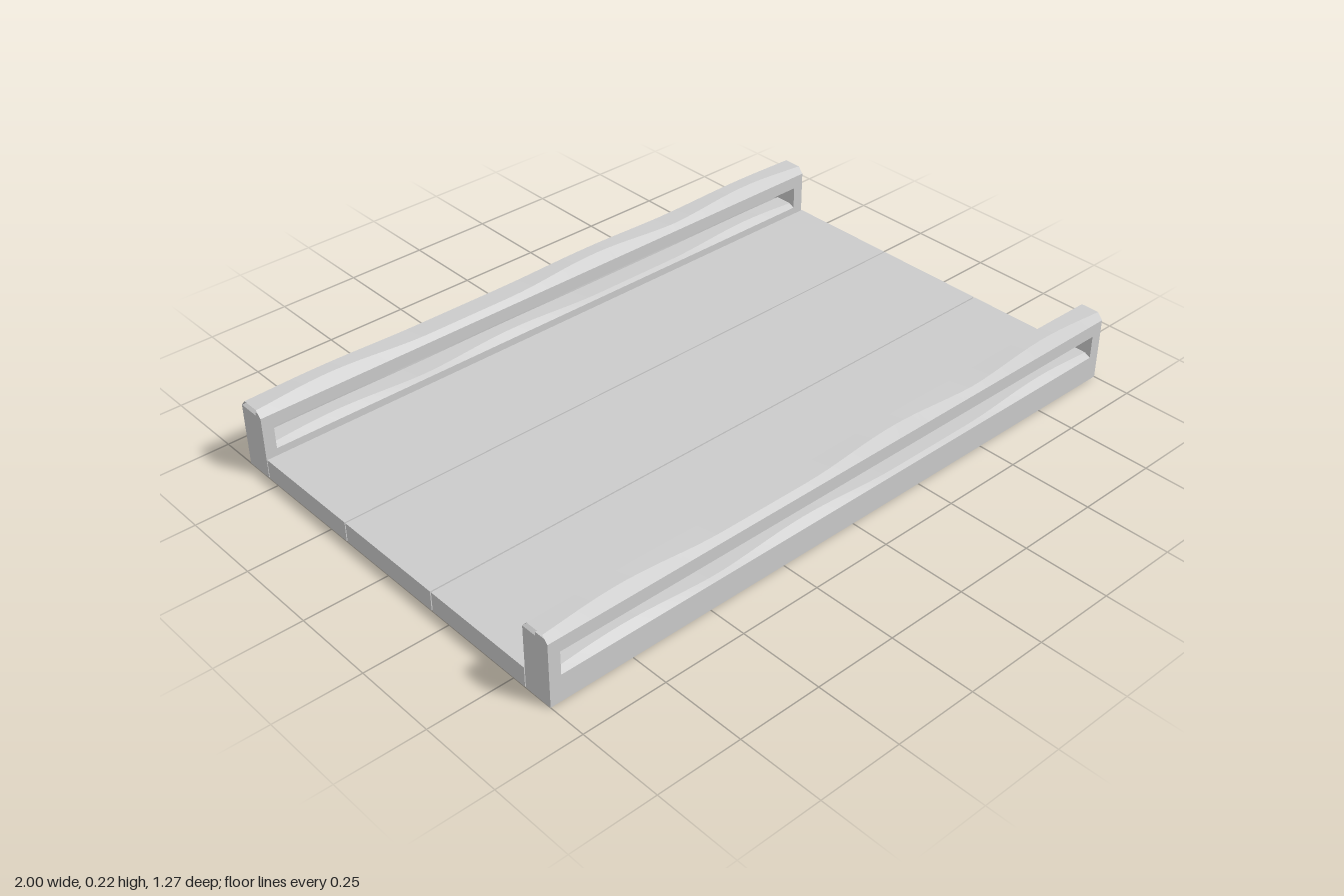
import * as THREE from 'three';

const material = new THREE.MeshStandardMaterial({ color: 0xcccccc, side: THREE.DoubleSide });
const RAIL_Z = 0.59, HALF = 0.045;      // rail centre line and half depth
const SLOT_X = 0.965, SLOT_LOW = 0.08, SLOT_HIGH = 0.15, WALL_TOP = 0.19;

function add(parent, name, geometry, x = 0, y = 0, z = 0, rx = 0, ry = 0) {
  const mesh = new THREE.Mesh(geometry, material);
  mesh.name = name;
  mesh.position.set(x, y, z);
  mesh.rotation.set(rx, ry, 0);
  parent.add(mesh);
  return mesh;
}

const plane = (w, h) => new THREE.PlaneGeometry(w, h);

// Sum of soft humps along the length, 0 to 1
function humps(x, centres) {
  return centres.reduce((sum, c) => {
    const d = Math.abs(x - c) / 0.33;
    return sum + (d < 1 ? 0.5 + 0.5 * Math.cos(Math.PI * d) : 0);
  }, 0);
}

// Bevelled strip whose flat crown rises and narrows at each hump
function wavyCap(halfLength, base, low, high, centres) {
  const positions = [], indices = [], steps = 48;
  const profile = (x) => {
    const t = Math.min(1, humps(x, centres));
    const half = 0.03 - 0.009 * t, y = low + (high - low) * t;
    return [[HALF, base], [half, y], [-half, y], [-HALF, base]];
  };
  for (let face = 0; face < 3; face++) {
    const start = positions.length / 3;
    for (let i = 0; i <= steps; i++) {
      const x = halfLength * (2 * i / steps - 1);
      const p = profile(x);
      for (const [z, y] of [p[face], p[face + 1]]) positions.push(x, y, z);
      if (i < steps) {
        const a = start + 2 * i;
        indices.push(a, a + 2, a + 1, a + 1, a + 2, a + 3);
      }
    }
  }
  const geometry = new THREE.BufferGeometry();
  geometry.setAttribute('position', new THREE.Float32BufferAttribute(positions, 3));
  geometry.setIndex(indices);
  geometry.computeVertexNormals();
  return geometry;
}

// Long wall with a slot through it
function slottedWall() {
  const rect = (Type, x, y0, y1) => new Type([
    new THREE.Vector2(-x, y0), new THREE.Vector2(x, y0),
    new THREE.Vector2(x, y1), new THREE.Vector2(-x, y1)]);
  const shape = rect(THREE.Shape, 1, 0, WALL_TOP);
  shape.holes.push(rect(THREE.Path, SLOT_X, SLOT_LOW, SLOT_HIGH));
  return new THREE.ShapeGeometry(shape);
}

// Hollow rail, open below and at the +x end
function createRail(name, z) {
  const rail = new THREE.Group();
  rail.name = name;
  rail.position.z = z;
  add(rail, 'frontWall', slottedWall(), 0, 0, HALF);
  add(rail, 'backWall', slottedWall(), 0, 0, -HALF, 0, Math.PI);
  add(rail, 'railCap', wavyCap(1, WALL_TOP, 0.207, 0.22, [-0.77, 0.16, 0.77]));
  add(rail, 'slotSill', wavyCap(SLOT_X, SLOT_LOW, 0.086, 0.095, [-0.77, -0.16, 0.77]));
  add(rail, 'slotCeiling', plane(2 * SLOT_X, 2 * HALF), 0, SLOT_HIGH, 0, Math.PI / 2);
  for (const s of [-1, 1]) {
    add(rail, 'slotEnd', plane(2 * HALF, SLOT_HIGH - SLOT_LOW),
      s * SLOT_X, (SLOT_HIGH + SLOT_LOW) / 2, 0, 0, -s * Math.PI / 2);
  }
  add(rail, 'endCap', plane(2 * HALF, WALL_TOP), -1, WALL_TOP / 2, 0, 0, -Math.PI / 2);
  return rail;
}

// Hollow deck plank, open below and at the +x end
function createPlank(z) {
  const width = 0.358, height = 0.06;
  const plank = new THREE.Group();
  plank.name = 'deckPlank';
  plank.position.z = z;
  add(plank, 'plankTop', plane(2, width), 0, height, 0, -Math.PI / 2);
  for (const s of [-1, 1]) {
    add(plank, 'plankSide', plane(2, height), 0, height / 2, s * width / 2, 0, s > 0 ? 0 : Math.PI);
  }
  add(plank, 'plankEnd', plane(width, height), -1, height / 2, 0, 0, -Math.PI / 2);
  return plank;
}

export function createModel() {
  const model = new THREE.Group();
  model.name = 'bridgeDeck';
  for (const i of [-1, 0, 1]) model.add(createPlank(i * 0.3625));
  model.add(createRail('frontRail', RAIL_Z), createRail('backRail', -RAIL_Z));
  return model;
}
